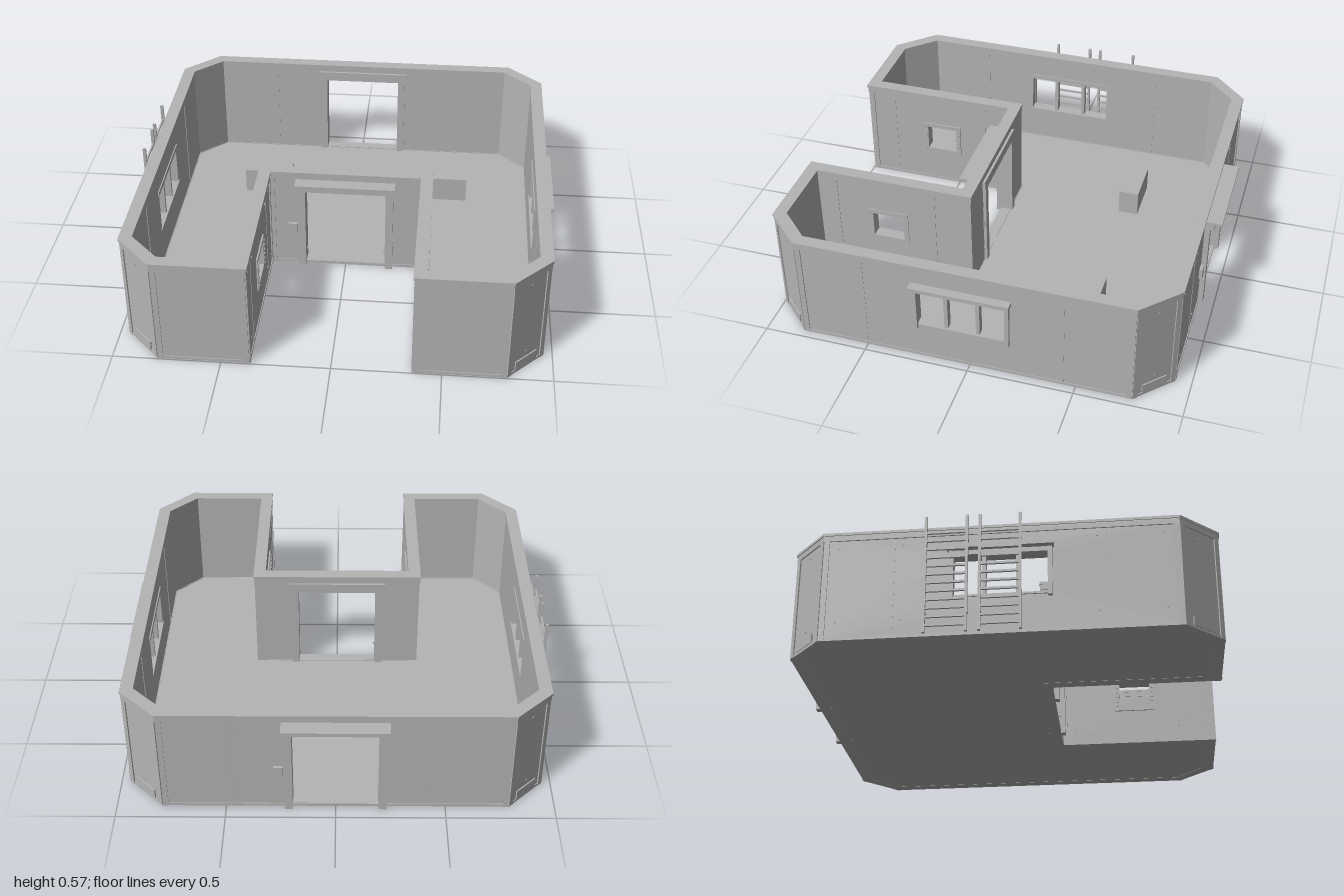
import * as THREE from 'three';

export function createModel() {
  const model = new THREE.Group();
  model.name = 'rooflessBuilding';
  const grey = new THREE.MeshStandardMaterial({ color: 0xb4b4b4 });
  grey.name = 'plain grey';

  const add = (parent, name, geometry) => {
    const mesh = new THREE.Mesh(geometry, grey);
    mesh.name = name;
    parent.add(mesh);
    return mesh;
  };
  // box given by its ranges
  const box = (parent, name, x0, x1, y0, y1, z0, z1) => {
    const m = add(parent, name, new THREE.BoxGeometry(x1 - x0, y1 - y0, z1 - z0));
    m.position.set((x0 + x1) / 2, (y0 + y1) / 2, (z0 + z1) / 2);
    return m;
  };

  // U-shaped footprint (x, z), walked with the outside on the viewer's side
  const plan = [
    [-0.79, 0.99], [-0.37, 0.99], [-0.37, 0.21], [0.37, 0.21], [0.37, 0.99], [0.79, 0.99],
    [0.955, 0.82], [0.955, -0.76], [0.79, -0.92], [-0.79, -0.92], [-0.955, -0.76], [-0.955, 0.82],
  ].map(([x, z]) => new THREE.Vector2(x, z));
  const count = plan.length;
  const at = i => plan[(i + count) % count];
  const dir = i => at(i + 1).clone().sub(at(i)).normalize();
  const mitre = i => { // half-turn tangent at corner i
    const a = dir(i - 1), b = dir(i);
    return Math.tan(Math.atan2(-(a.x * b.y - a.y * b.x), a.dot(b)) / 2);
  };

  // one local frame per side: x along the wall, y up, z outward
  const sides = plan.map((p, i) => {
    const u = dir(i), g = new THREE.Group();
    g.name = 'wallSide' + i;
    g.rotation.y = Math.atan2(-u.y, u.x);
    g.position.set(p.x, 0, p.y);
    g.userData.length = p.distanceTo(at(i + 1));
    model.add(g);
    return g;
  });

  const rectPath = (T, x0, x1, y0, y1) => {
    const s = new T();
    s.moveTo(x0, y0);
    s.lineTo(x1, y0);
    s.lineTo(x1, y1);
    s.lineTo(x0, y1);
    s.closePath();
    return s;
  };

  // mitred ring of strips around the footprint, with optional holes
  const ring = (name, y0, y1, inner, outer, holes = {}) => sides.forEach((g, i) => {
    const len = g.userData.length;
    const shape = rectPath(THREE.Shape, 0, len, y0, y1);
    for (const h of holes[i] || []) shape.holes.push(rectPath(THREE.Path, ...h));
    const geo = new THREE.ExtrudeGeometry(shape, { depth: outer - inner, bevelEnabled: false });
    geo.translate(0, 0, inner);
    const p = geo.attributes.position, t0 = mitre(i), t1 = mitre(i + 1);
    for (let k = 0; k < p.count; k++) {
      const x = p.getX(k), z = p.getZ(k);
      if (x < 1e-4) p.setX(k, x - z * t0);
      else if (x > len - 1e-4) p.setX(k, x + z * t1);
    }
    geo.computeVertexNormals();
    add(g, name, geo);
  });

  const doors = [[2, 0.37, 0.07], [8, 0.79, 0.08]];       // side, centre, hood depth
  const longWindows = [[6, 0.785], [10, 0.795]];
  const smallWindows = [[1, 0.40], [3, 0.38]];
  const holes = {};
  doors.forEach(([i, c]) => { holes[i] = [[c - 0.2, c + 0.2, 0.015, 0.45]]; });
  longWindows.forEach(([i, c]) => { holes[i] = [[c - 0.21, c + 0.21, 0.19, 0.39]]; });
  smallWindows.forEach(([i, c]) => { holes[i] = [[c - 0.08, c + 0.08, 0.2, 0.335]]; });

  // walls, top trim and base trim
  ring('wall', 0.002, 0.52, -0.045, 0, holes);
  ring('wallCap', 0.522, 0.535, -0.05, 0.01);
  ring('topTrim', 0.495, 0.522, -0.048, 0.006);
  ring('baseTrim', 0, 0.014, -0.048, 0.004);

  // floor slab
  const floorShape = new THREE.Shape(plan.map(p => new THREE.Vector2(p.x, -p.y)));
  const floor = add(model, 'floor', new THREE.ExtrudeGeometry(floorShape, { depth: 0.01, bevelEnabled: false }));
  floor.rotation.x = -Math.PI / 2;
  floor.position.y = 0.001;

  // corner strips, panel seams and bolts
  sides.forEach((g, i) => {
    const len = g.userData.length;
    for (const x of [0, len - 0.025]) box(g, 'cornerStrip', x, x + 0.025, 0, 0.5, -0.002, 0.006);
    const seams = len > 1 ? [0.32, len - 0.32] : len > 0.7 ? [0.14, len - 0.14] : [];
    for (const x of seams) {
      box(g, 'panelSeam', x - 0.003, x + 0.003, 0.014, 0.5, -0.001, 0.002);
      box(g, 'innerSeam', x - 0.004, x + 0.004, 0.014, 0.5, -0.048, -0.044);
    }
    const bolts = len < 0.3 ? [len / 2] : [0.07, len - 0.07, ...seams.map(s => s + (s < len / 2 ? 0.04 : -0.04))];
    for (const x of bolts) for (const y of [0.09, 0.46]) {
      const b = add(g, 'bolt', new THREE.CylinderGeometry(0.005, 0.005, 0.006, 6));
      b.rotation.x = Math.PI / 2;
      b.position.set(x, y, 0.001);
    }
    if (len < 0.3) box(g, 'kickPlate', 0.05, len - 0.05, 0.015, 0.06, -0.001, 0.006);
  });

  // doorways with posts, beam, hood and keypad
  doors.forEach(([i, c, hood]) => {
    const g = sides[i];
    for (const s of [-1, 1]) {
      const a = c + s * 0.195, b = c + s * 0.232;
      box(g, 'doorPost', Math.min(a, b), Math.max(a, b), 0, 0.455, -0.06, 0.025);
    }
    box(g, 'doorBeam', c - 0.235, c + 0.235, 0.448, 0.485, -0.06, 0.045);
    box(g, 'doorHood', c - 0.24, c + 0.24, 0.485, 0.497, -0.06, hood);
    box(g, 'keypad', c - 0.28, c - 0.237, 0.185, 0.24, -0.001, 0.016);
  });

  // long side windows with hood, posts, sill and mullions
  longWindows.forEach(([i, c]) => {
    const g = sides[i];
    box(g, 'windowHood', c - 0.235, c + 0.235, 0.41, 0.43, -0.002, 0.042);
    box(g, 'windowHead', c - 0.225, c + 0.225, 0.388, 0.41, -0.05, 0.014);
    box(g, 'windowSill', c - 0.225, c + 0.225, 0.183, 0.193, -0.05, 0.006);
    for (const s of [-1, 1]) {
      const x = c + s * 0.217;
      box(g, 'windowPost', x - 0.01, x + 0.01, 0.172, 0.41, -0.002, 0.018);
      box(g, 'mullion', c + s * 0.075 - 0.009, c + s * 0.075 + 0.009, 0.19, 0.39, -0.04, -0.005);
    }
  });

  // small courtyard windows: frame with side studs
  smallWindows.forEach(([i, c]) => {
    const g = sides[i];
    for (const s of [-1, 1]) {
      const x = c + s * 0.09, y = 0.2675 + s * 0.0775;
      box(g, 'smallWindowJamb', x - 0.012, x + 0.012, 0.18, 0.355, -0.05, 0.008);
      box(g, 'smallWindowRail', c - 0.1, c + 0.1, y - 0.011, y + 0.011, -0.05, 0.008);
      for (let k = 0; k < 6; k++) {
        const h = 0.2 + k * 0.026;
        box(g, 'stud', x - 0.005, x + 0.005, h, h + 0.008, 0.007, 0.013);
      }
    }
  });

  // two ladders on the right-hand wall
  for (const [z0, z1] of [[-0.3, -0.105], [-0.06, 0.13]]) {
    const ladder = new THREE.Group();
    ladder.name = 'ladder';
    model.add(ladder);
    for (const z of [z0, z1 - 0.012]) {
      box(ladder, 'ladderRail', -1.0, -0.985, 0.002, 0.573, z, z + 0.012);
      for (const y of [0.1, 0.46]) box(ladder, 'ladderBracket', -0.987, -0.95, y, y + 0.01, z + 0.002, z + 0.01);
    }
    for (let k = 0; k < 12; k++) {
      const y = 0.03 + k * 0.0415;
      box(ladder, 'ladderRung', -0.997, -0.988, y, y + 0.01, z0, z1);
    }
  }

  // crates inside
  for (const s of [-1, 1]) box(model, 'crate', s * 0.467 - 0.123, s * 0.467 + 0.123, 0.01, 0.14, -0.49, -0.39);

  return model;
}
